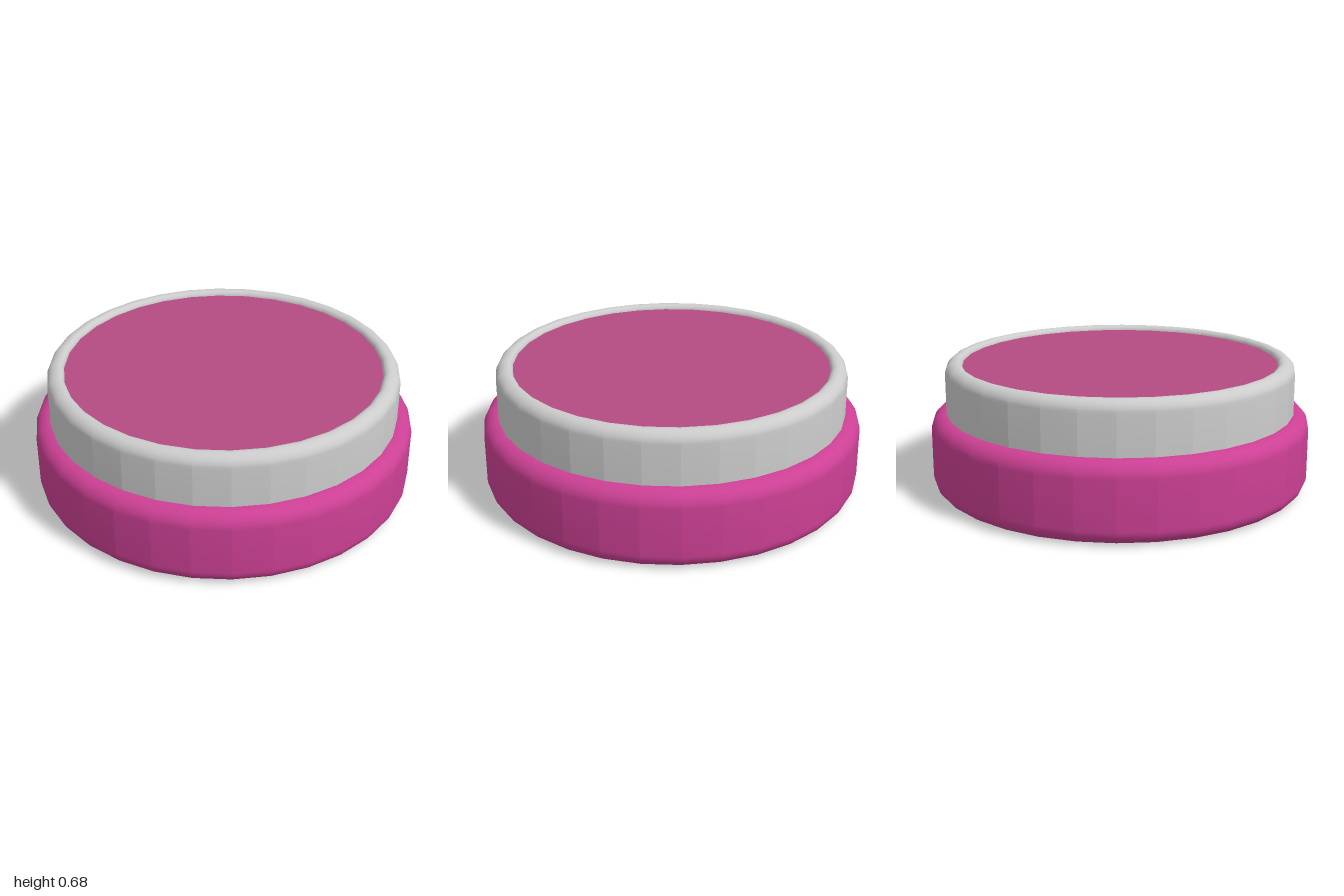
import * as THREE from 'three';
import { toCreasedNormals } from 'three/addons/utils/BufferGeometryUtils.js';

const SIDES = 32;

// Points of a rounded corner around (cx, cy), from angle a to angle b in degrees
function corner(cx, cy, r, a, b, steps = 10) {
  const pts = [];
  for (let i = 0; i <= steps; i++) {
    const t = THREE.MathUtils.degToRad(a + ((b - a) * i) / steps);
    pts.push([cx + r * Math.cos(t), cy + r * Math.sin(t)]);
  }
  return pts;
}

// Turned part: flat panels on the walls, smooth rounded edges
function turned(name, profile, color) {
  const points = profile.map(([x, y]) => new THREE.Vector2(x, y));
  const geometry = toCreasedNormals(new THREE.LatheGeometry(points, SIDES), 0.19);
  const mesh = new THREE.Mesh(geometry, new THREE.MeshStandardMaterial({ color }));
  mesh.name = name;
  return mesh;
}

export function createModel() {
  const group = new THREE.Group();
  group.name = 'roundButton';

  // Wide base with rounded top and bottom edges
  group.add(turned('base', [
    [0, 0], [0.9, 0],
    ...corner(0.92, 0.08, 0.08, -90, 0),
    ...corner(0.92, 0.33, 0.08, 0, 90),
    [0.9, 0.41], [0, 0.41],
  ], 0xcc4094));

  // Grey collar with a rounded rim that rolls inward
  group.add(turned('collar', [
    [0.92, 0.4],
    ...corner(0.86, 0.62, 0.06, 0, 90),
    ...corner(0.86, 0.65, 0.03, 90, 180),
    [0.83, 0.64],
  ], 0xcccccc));

  // Slightly sunken top face
  const face = new THREE.Mesh(
    new THREE.CircleGeometry(0.835, SIDES),
    new THREE.MeshStandardMaterial({ color: 0xb54c82 }),
  );
  face.name = 'topFace';
  face.rotation.x = -Math.PI / 2;
  face.position.y = 0.655;
  group.add(face);

  return group;
}
